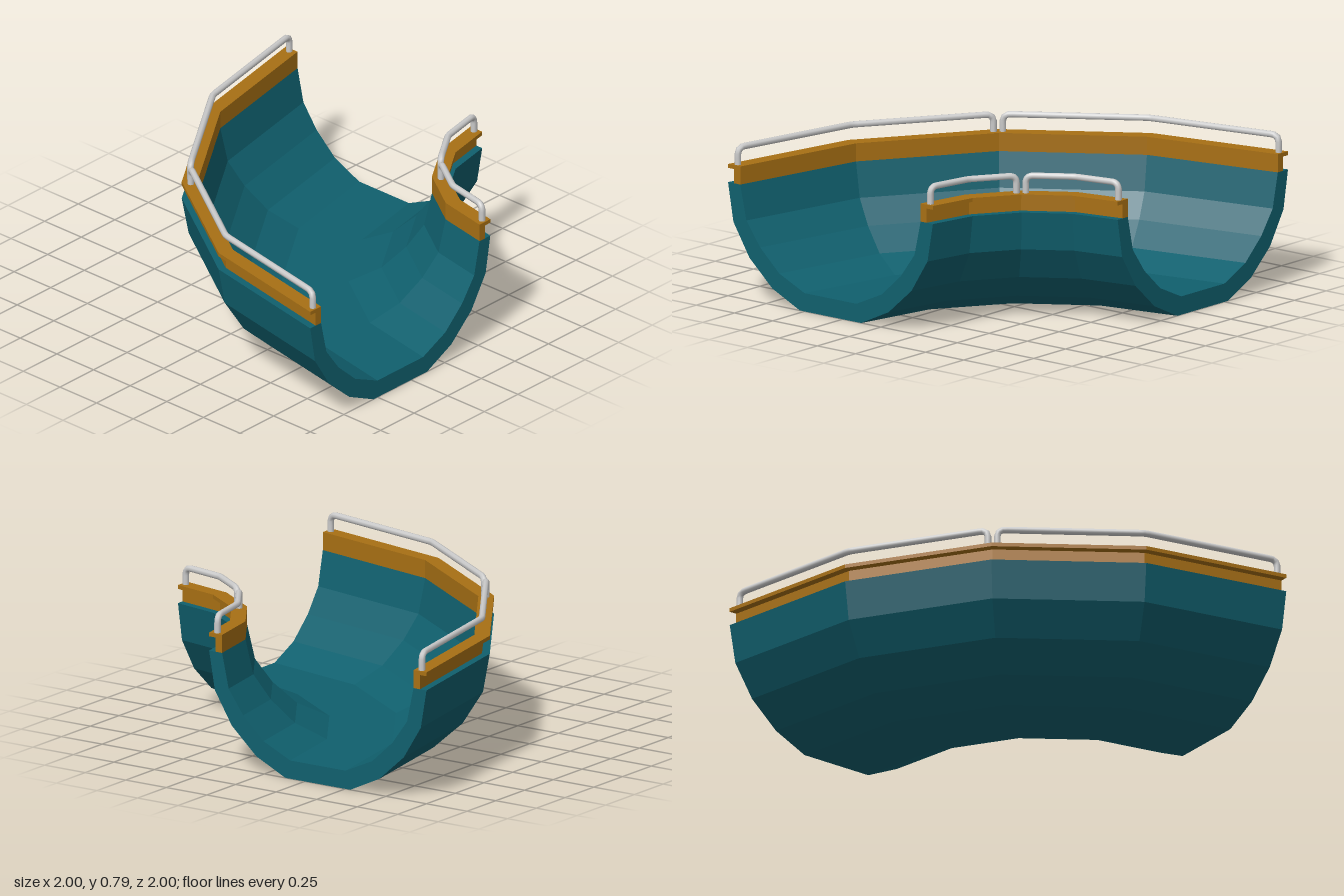
import * as THREE from 'three';

const STEPS = 4;                 // straight pieces in the quarter turn
const MID = 1.33;                // bend radius of the channel's centre line
const teal = new THREE.MeshStandardMaterial({ color: 0x10606e, flatShading: true });
const ochre = new THREE.MeshStandardMaterial({ color: 0xa87014, flatShading: true });
const steel = new THREE.MeshStandardMaterial({ color: 0xcccccc });

// Point at radius r and height y, at bend step k; the bend turns about (1, -1)
function bendPoint(r, y, k) {
  const a = (k / STEPS) * Math.PI / 2;
  return new THREE.Vector3(1 - r * Math.cos(a), y, -1 + r * Math.sin(a));
}

// Sweep a closed counter-clockwise (radius, height) profile round the bend, with capped ends
function sweep(profile) {
  const pos = [];
  const tri = (...pts) => pts.forEach(p => pos.push(p.x, p.y, p.z));
  const at = (i, k) => bendPoint(...profile[i % profile.length], k);
  for (let k = 0; k < STEPS; k++) {
    for (let i = 0; i < profile.length; i++) {
      const a = at(i, k), b = at(i, k + 1), c = at(i + 1, k + 1), d = at(i + 1, k);
      tri(a, b, c);
      tri(a, c, d);
    }
  }
  const flat = profile.map(p => new THREE.Vector2(...p));
  for (const [a, b, c] of THREE.ShapeUtils.triangulateShape(flat, [])) {
    tri(at(a, 0), at(b, 0), at(c, 0));
    tri(at(c, STEPS), at(b, STEPS), at(a, STEPS));
  }
  const geo = new THREE.BufferGeometry();
  geo.setAttribute('position', new THREE.Float32BufferAttribute(pos, 3));
  geo.computeVertexNormals();
  return geo;
}

// Path through points with rounded corners
function roundedPath(pts, radii) {
  const path = new THREE.CurvePath();
  let last = pts[0];
  for (let i = 1; i < pts.length - 1; i++) {
    const p = pts[i], r = radii[i - 1];
    const a = p.clone().add(pts[i - 1].clone().sub(p).setLength(r));
    const b = p.clone().add(pts[i + 1].clone().sub(p).setLength(r));
    path.add(new THREE.LineCurve3(last, a));
    path.add(new THREE.QuadraticBezierCurve3(a, p, b));
    last = b;
  }
  path.add(new THREE.LineCurve3(last, pts[pts.length - 1]));
  return path;
}

// Handrail spanning two pieces of the bend from step k
function handrail(r, k) {
  const top = 0.773, inset = 0.024;
  const mid = bendPoint(r, top, k + 1);
  const pull = p => p.add(mid.clone().sub(p).setLength(inset));
  const start = pull(bendPoint(r, top, k)), end = pull(bendPoint(r, top, k + 2));
  const foot = p => p.clone().setY(0.67);
  const path = roundedPath([foot(start), start, mid, end, foot(end)], [0.04, 0.02, 0.04]);
  return new THREE.TubeGeometry(path, 72, 0.017, 8, false);
}

export function createModel() {
  const group = new THREE.Group();
  const add = (name, geo, mat) => {
    const mesh = new THREE.Mesh(geo, mat);
    mesh.name = name;
    group.add(mesh);
  };

  // Half-pipe shell: half widths and heights from rim to floor
  const outer = [[0.67, 0.59], [0.635, 0.39], [0.53, 0.22], [0.38, 0.085], [0.2, 0]];
  const inner = [[0.59, 0.59], [0.55, 0.41], [0.46, 0.285], [0.335, 0.17], [0.17, 0.095]];
  const left = half => half.map(([w, y]) => [MID - w, y]);
  const right = half => half.map(([w, y]) => [MID + w, y]);
  add('channel', sweep([
    ...left(outer), ...right(outer).reverse(),
    ...right(inner), ...left(inner).reverse(),
  ]), teal);

  // Rim boards with a thin lip overhanging outwards
  const rim = [[0.59, 0.59], [0.63, 0.59], [0.63, 0.664], [0.67, 0.664], [0.67, 0.684], [0.59, 0.684]];
  add('outerRim', sweep(right(rim)), ochre);
  add('innerRim', sweep(left(rim).reverse()), ochre);

  // Two handrails on each rim
  for (const [side, w] of [['outer', 0.63], ['inner', -0.63]]) {
    for (const k of [0, 2]) {
      add(`${side}Handrail${k / 2 + 1}`, handrail(MID + w, k), steel);
    }
  }
  return group;
}
